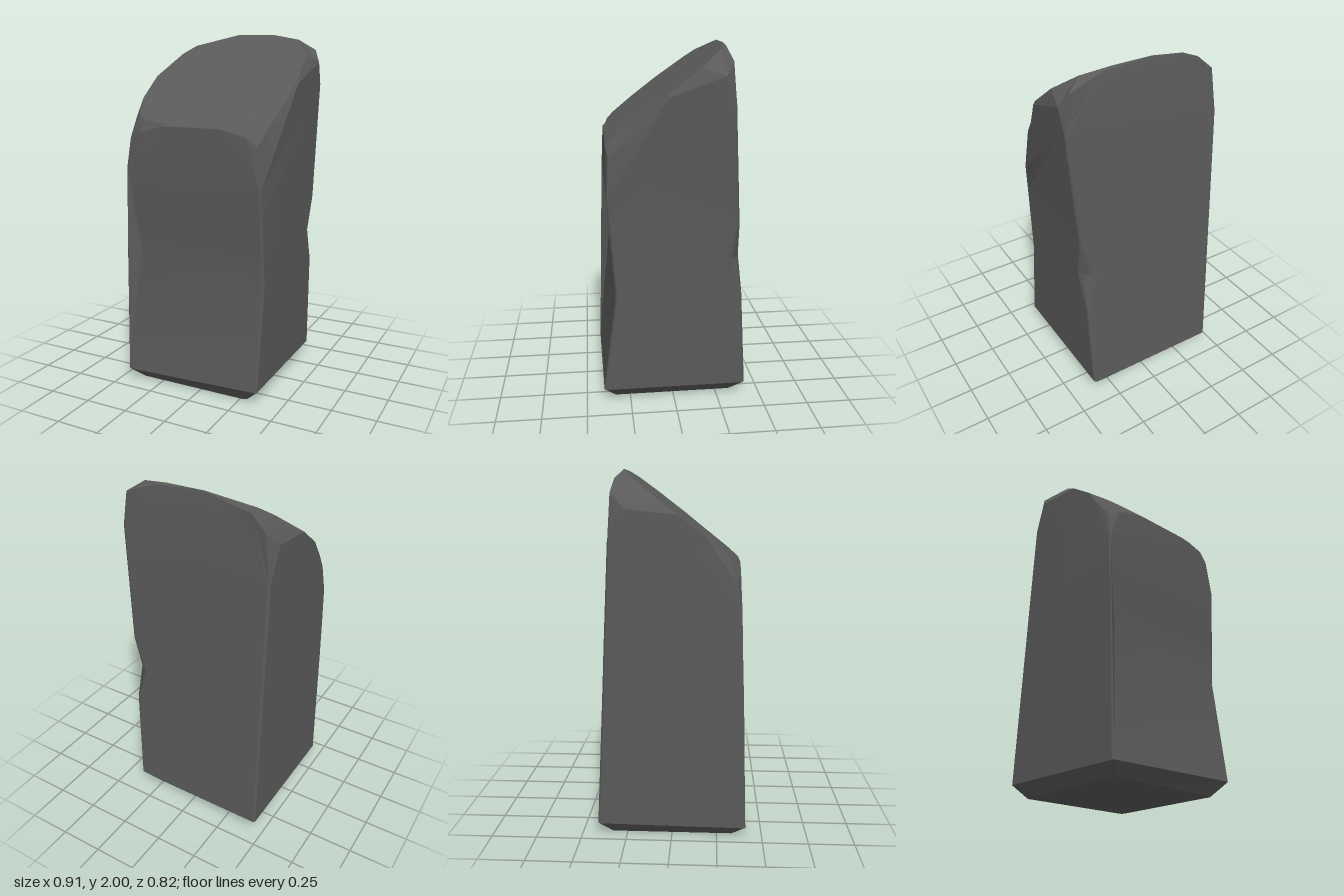
import * as THREE from 'three';
import { toCreasedNormals } from 'three/addons/utils/BufferGeometryUtils.js';

// Corner order: front -x, front +x, back +x, back -x
const SIGNS = [[-1, 1], [1, 1], [1, -1], [-1, -1]];
const BEVEL = [[0, 1], [0.2, 0.6], [0.6, 0.2], [1, 0]];

// Each level: four corners as [x, y, z, bevel, hollow cut beside the front ridge]
const LEVELS = [
  [[-0.40, 0, 0.35, 0.02], [0.29, 0, 0.35, 0.02], [0.29, 0, -0.35, 0.02], [-0.40, 0, -0.35, 0.02]],
  [[-0.455, 0.06, 0.41, 0.012], [0.37, 0.08, 0.40, 0.012], [0.37, 0.08, -0.41, 0.015], [-0.455, 0.07, -0.41, 0.012]],
  [[-0.455, 0.78, 0.388, 0.008, 0.065], [0.375, 0.65, 0.325, 0.012], [0.388, 0.65, -0.374, 0.015], [-0.455, 0.65, -0.38, 0.012]],
  [[-0.455, 0.9, 0.383, 0.008, 0.05], [0.373, 0.88, 0.342, 0.012], [0.395, 0.85, -0.361, 0.08], [-0.455, 0.88, -0.368, 0.012]],
  [[-0.455, 1.05, 0.377, 0.008, 0.031], [0.371, 1.05, 0.355, 0.012], [0.404, 1.05, -0.349, 0.015], [-0.455, 1.05, -0.36, 0.012]],
  [[-0.455, 1.28, 0.368, 0.012], [0.37, 1.2, 0.366, 0.012], [0.448, 1.72, -0.307, 0.015], [-0.455, 1.62, -0.33, 0.012]],
];

// Worn shoulder just below the slanted top, four points per corner
const SHOULDER = [
  [-0.455, 1.54, 0.25], [-0.44, 1.43, 0.34], [-0.38, 1.46, 0.36], [-0.22, 1.505, 0.362],
  [0.12, 1.505, 0.362], [0.28, 1.47, 0.362], [0.34, 1.42, 0.35], [0.369, 1.53, 0.24],
  [0.44, 1.735, 0.04], [0.452, 1.84, -0.25], [0.415, 1.91, -0.291], [0.22, 1.98, -0.286],
  [-0.10, 1.988, -0.288], [-0.33, 1.945, -0.30], [-0.415, 1.87, -0.315], [-0.455, 1.79, -0.24],
];

// Outline of the slanted top as [x, z]
const TOP = [
  [-0.452, 0.18], [-0.41, 0.29], [-0.35, 0.33], [-0.19, 0.352],
  [0.07, 0.352], [0.23, 0.32], [0.28, 0.28], [0.365, 0.11],
  [0.43, 0.04], [0.42, -0.13], [0.33, -0.24], [0.17, -0.276],
  [-0.06, -0.283], [-0.31, -0.20], [-0.37, -0.14], [-0.452, 0.03],
];
const topHeight = (z) => 1.783 - 0.766 * z;

// Turn four bevelled corners into a 16-point loop
function bevelledLoop(corners) {
  return corners.flatMap(([x, y, z, b, hollow = 0], c) => {
    const [sx, sz] = SIGNS[c];
    const steps = c % 2 ? [...BEVEL].reverse() : BEVEL;
    const points = steps.map(([kx, kz]) => [x - sx * b * kx, y, z - sz * b * kz]);
    if (hollow) points[3] = [x + hollow, y, z - 0.8 * hollow];
    return points;
  });
}

// Skin the stacked loops and close both ends
function loft(loops) {
  const n = loops[0].length;
  const position = [];
  const tri = (...points) => points.forEach((p) => position.push(...p));
  const centre = (loop) => [0, 1, 2].map((k) => loop.reduce((sum, p) => sum + p[k], 0) / n);
  const bottom = loops[0], top = loops[loops.length - 1];
  const bottomCentre = centre(bottom), topCentre = centre(top);
  for (let i = 0; i < n; i++) {
    const j = (i + 1) % n;
    for (let r = 0; r < loops.length - 1; r++) {
      const lo = loops[r], hi = loops[r + 1];
      tri(lo[i], lo[j], hi[j]);
      tri(lo[i], hi[j], hi[i]);
    }
    tri(bottomCentre, bottom[j], bottom[i]);
    tri(topCentre, top[i], top[j]);
  }
  const geometry = new THREE.BufferGeometry();
  geometry.setAttribute('position', new THREE.Float32BufferAttribute(position, 3));
  return toCreasedNormals(geometry, 0.35);
}

export function createModel() {
  const group = new THREE.Group();
  group.name = 'standingStone';
  const loops = [
    ...LEVELS.map(bevelledLoop),
    SHOULDER,
    TOP.map(([x, z]) => [x, topHeight(z), z]),
  ];
  // Dark stone
  const stone = new THREE.Mesh(loft(loops), new THREE.MeshStandardMaterial({ color: 0x5a5a5a }));
  stone.name = 'stoneBlock';
  group.add(stone);
  return group;
}
